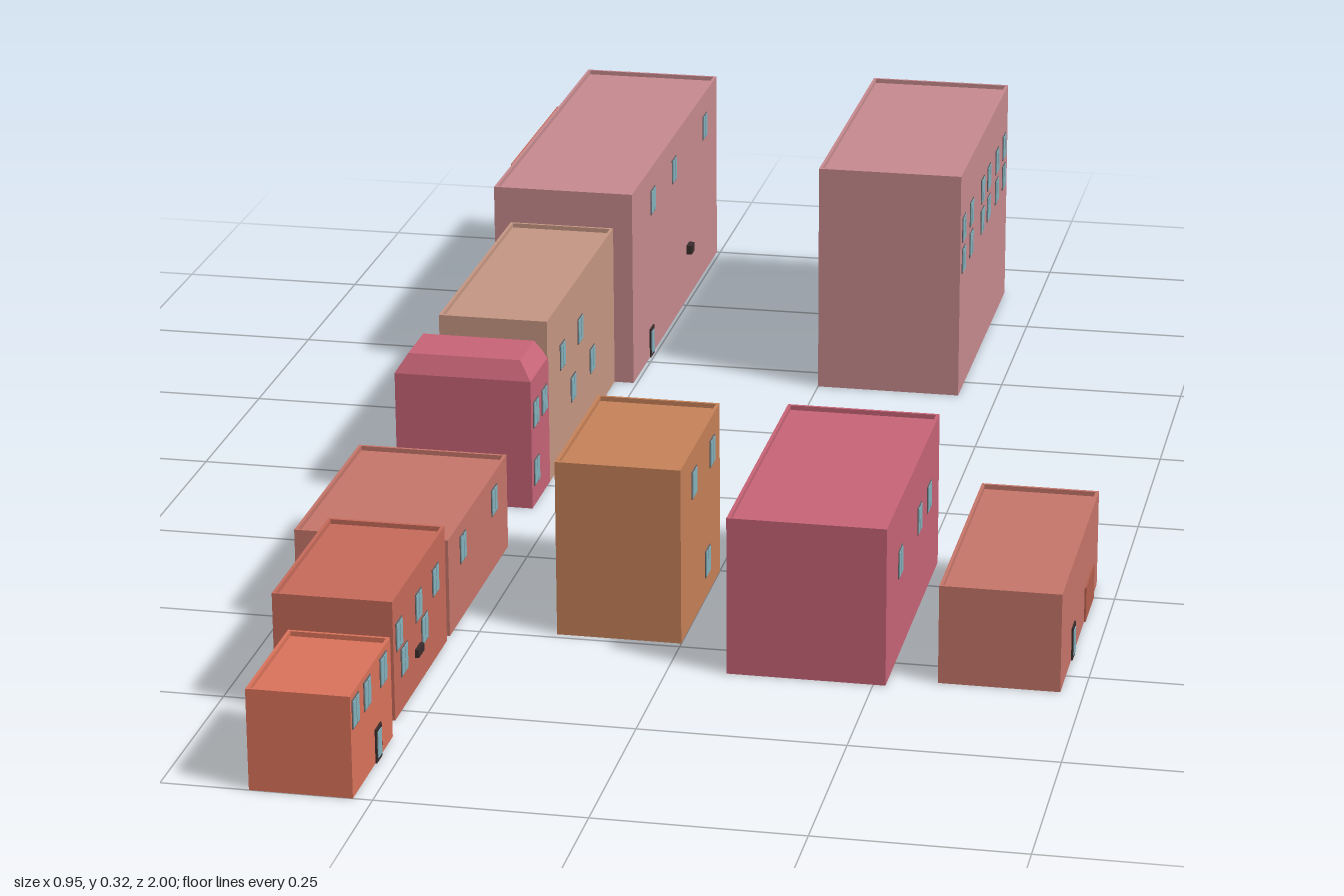
import * as THREE from 'three';

const mat = (color) => new THREE.MeshStandardMaterial({ color, flatShading: true });
const glass = mat(0x86b4c0), frame = mat(0x6a6668), dark = mat(0x3a2c2c);

// Box given by its ranges
function block(name, x0, x1, y0, y1, z0, z1, material) {
  const m = new THREE.Mesh(new THREE.BoxGeometry(x1 - x0, y1 - y0, z1 - z0), material);
  m.position.set((x0 + x1) / 2, (y0 + y1) / 2, (z0 + z1) / 2);
  m.name = name;
  return m;
}

// Thin raised edge around a flat roof
function parapet(x0, x1, z0, z1, h, drop, material) {
  const t = 0.004, w = (x1 - x0) / 2, d = (z1 - z0) / 2;
  const rect = (C, a, b) => new C([[-a, -b], [a, -b], [a, b], [-a, b]].map(p => new THREE.Vector2(...p)));
  const shape = rect(THREE.Shape, w, d);
  shape.holes.push(rect(THREE.Path, w - t, d - t));
  const geo = new THREE.ExtrudeGeometry(shape, { depth: drop, bevelEnabled: false });
  geo.rotateX(-Math.PI / 2);
  const m = new THREE.Mesh(geo, material);
  m.position.set((x0 + x1) / 2, h - drop, (z0 + z1) / 2);
  m.name = 'parapet';
  return m;
}

// Two-pane window on a wall facing +x
function windowUnit(x, y, z) {
  const g = new THREE.Group();
  g.name = 'window';
  g.add(block('windowFrame', x - 0.002, x + 0.001, y - 0.018, y + 0.018, z - 0.014, z + 0.014, frame));
  for (const s of [-1, 1]) {
    const c = z + s * 0.0068;
    g.add(block('pane', x, x + 0.002, y - 0.016, y + 0.016, c - 0.0058, c + 0.0058, glass));
  }
  return g;
}

function building(b) {
  const g = new THREE.Group(), m = mat(b.color), drop = 0.006;
  const [x0, x1] = b.x, [z0, z1] = b.z;
  g.name = b.name;
  if (b.mansard) g.add(mansardBody(b, m));
  else {
    g.add(block('walls', x0, x1, 0, b.h - drop, z0, z1, m));
    g.add(parapet(x0, x1, z0, z1, b.h, drop, m));
  }
  for (const [z, y] of b.windows || []) g.add(windowUnit(x1, y, z));
  for (const z of b.doors || []) {
    g.add(block('door', x1 - 0.002, x1 + 0.002, 0, 0.042, z - 0.012, z + 0.012, dark));
    g.add(block('doorPane', x1, x1 + 0.003, 0.005, 0.037, z - 0.008, z + 0.008, glass));
  }
  return g;
}

// Walls with a low roof sloping in on all four sides
function mansardBody(b, m) {
  const g = new THREE.Group();
  g.name = 'mansardHouse';
  const [x0, x1] = b.x, [z0, z1] = b.z, eave = 0.175, inset = 0.016;
  g.add(block('walls', x0, x1, 0, eave, z0, z1, m));
  const roof = block('mansardRoof', x0, x1, eave, b.h, z0, z1, m);
  const p = roof.geometry.attributes.position;
  for (let i = 0; i < p.count; i++) {
    if (p.getY(i) < 0) continue;
    p.setX(i, p.getX(i) - Math.sign(p.getX(i)) * inset);
    p.setZ(i, p.getZ(i) - Math.sign(p.getZ(i)) * inset * 0.7);
  }
  roof.geometry.computeVertexNormals();
  g.add(roof);
  return g;
}

export function createModel() {
  const town = new THREE.Group();
  town.name = 'streetOfHouses';
  const officeWindows = [-0.475, -0.545, -0.65, -0.71, -0.79, -0.86].flatMap(z => [[z, 0.235], [z, 0.19]]);

  const houses = [
    // West row, from back to front
    { name: 'longHall', x: [-0.45, -0.255], z: [-1, -0.41], h: 0.275, color: 0xc98c90,
      windows: [[-0.545, 0.225], [-0.69, 0.225], [-0.91, 0.225]], doors: [-0.53] },
    { name: 'rearAnnex', x: [-0.475, -0.45], z: [-0.9, -0.61], h: 0.245, color: 0xc86b5a },
    { name: 'tanHouse', x: [-0.427, -0.282], z: [-0.41, -0.01], h: 0.225, color: 0xc89885,
      windows: [[-0.095, 0.15], [-0.2, 0.15], [-0.155, 0.083], [-0.27, 0.083]] },
    { name: 'mansardHouse', x: [-0.463, -0.282], z: [-0.015, 0.085], h: 0.2, color: 0xc96578, mansard: true,
      windows: [[0.06, 0.125], [0.012, 0.125], [0.06, 0.045]] },
    { name: 'lowHouse', x: [-0.475, -0.282], z: [0.22, 0.52], h: 0.125, color: 0xc8776a,
      windows: [[0.29, 0.09], [0.45, 0.09]] },
    { name: 'brickHouse', x: [-0.427, -0.282], z: [0.535, 0.78], h: 0.15, color: 0xc86b5a,
      windows: [[0.755, 0.1], [0.665, 0.1], [0.585, 0.1], [0.735, 0.06], [0.64, 0.06]] },
    { name: 'endHouse', x: [-0.395, -0.273], z: [0.825, 1], h: 0.125, color: 0xdd745c,
      windows: [[0.98, 0.1], [0.93, 0.1], [0.86, 0.1]], doors: [0.89] },
    // East side
    { name: 'officeBlock', x: [0, 0.197], z: [-0.895, -0.445], h: 0.317, color: 0xc98c90, windows: officeWindows },
    { name: 'orangeHouse', x: [-0.155, 0], z: [0.25, 0.49], h: 0.225, color: 0xc8835a,
      windows: [[0.3, 0.18], [0.41, 0.18], [0.33, 0.045]] },
    { name: 'redHouse', x: [0.072, 0.265], z: [0.17, 0.57], h: 0.2, color: 0xc96578,
      windows: [[0.47, 0.12], [0.325, 0.12], [0.25, 0.12]] },
    { name: 'garageHouse', x: [0.325, 0.472], z: [0.205, 0.55], h: 0.125, color: 0xc8776a, doors: [0.44] },
  ];
  for (const h of houses) town.add(building(h));

  // Small fittings on the street walls
  town.add(block('garageDoor', 0.47, 0.474, 0, 0.045, 0.25, 0.33, mat(0xb5604f)));
  town.add(block('wallLamp', -0.256, -0.247, 0.07, 0.083, -0.795, -0.775, dark));
  town.add(block('shopSign', -0.284, -0.277, 0.04, 0.05, 0.66, 0.685, dark));
  return town;
}
